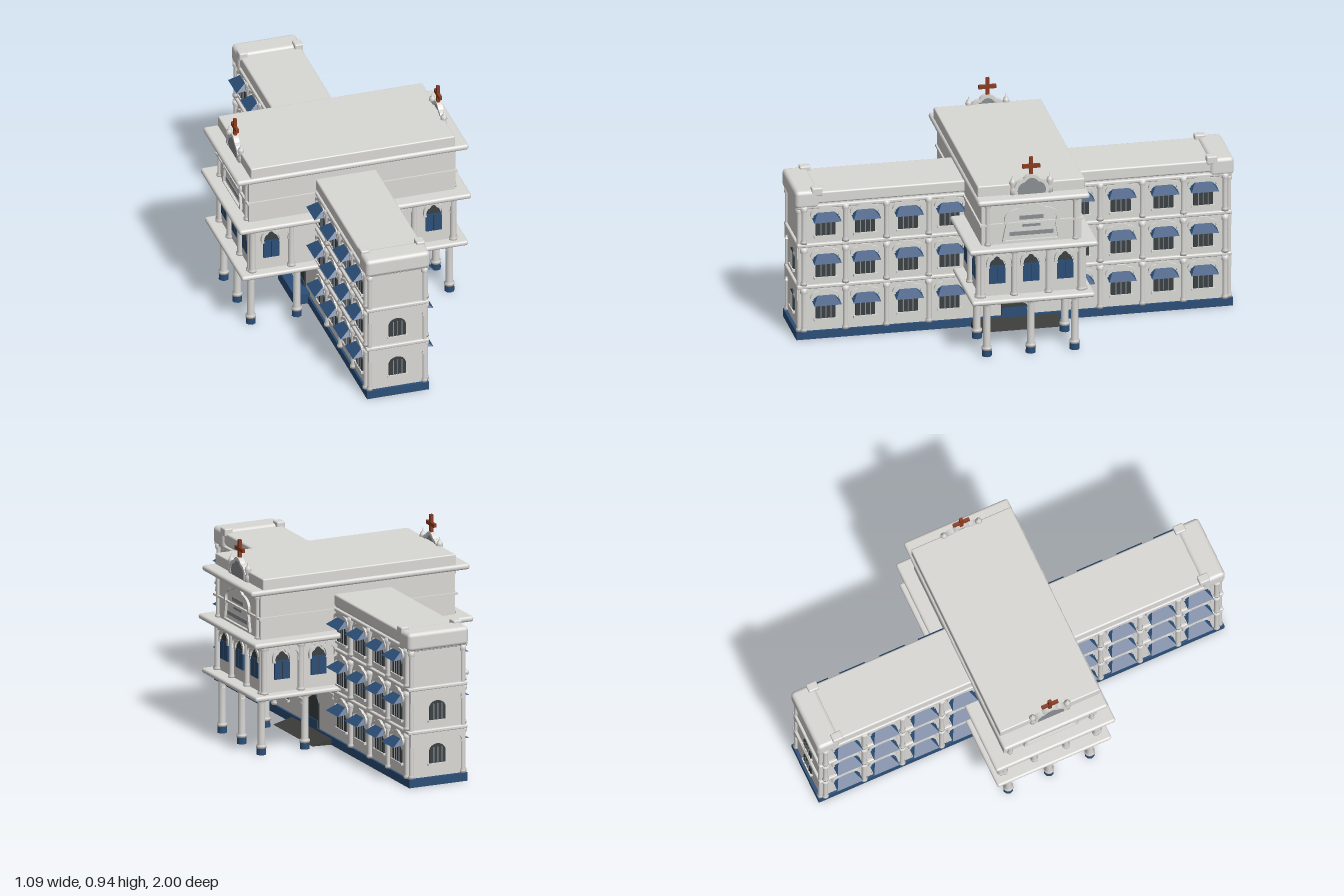
import * as THREE from 'three';
import { RoundedBoxGeometry } from 'three/addons/geometries/RoundedBoxGeometry.js';

const mat = (name, color) => Object.assign(new THREE.MeshStandardMaterial({ color }), { name });

export function createModel() {
  const plaster = mat('plaster', 0xd9d8d5);
  const navy = mat('navy paint', 0x2b4f78);
  const glass = mat('dark glass', 0x3a4144);
  const stone = mat('grey stone', 0x8b8f93);
  const ramp = mat('dark paving', 0x3b3b39);
  const wood = mat('red brown', 0x8a3b20);

  const root = new THREE.Group();
  root.name = 'building';

  const add = (parent, name, geo, m, x = 0, y = 0, z = 0) => {
    const mesh = new THREE.Mesh(geo, m);
    mesh.name = name;
    mesh.position.set(x, y, z);
    parent.add(mesh);
    return mesh;
  };
  // Box from its limits, rounded when r > 0
  const box = (parent, name, m, x0, x1, y0, y1, z0, z1, r = 0) => {
    const s = [x1 - x0, y1 - y0, z1 - z0];
    const geo = r ? new RoundedBoxGeometry(...s, 2, r) : new THREE.BoxGeometry(...s);
    return add(parent, name, geo, m, (x0 + x1) / 2, (y0 + y1) / 2, (z0 + z1) / 2);
  };
  // Group lying on a wall, local +z pointing out of it
  const wall = (name, x, z, angle) => {
    const g = new THREE.Group();
    g.name = name;
    g.position.set(x, 0, z);
    g.rotation.y = angle;
    root.add(g);
    return g;
  };
  const plate = (parent, name, shape, m, x, y, depth, z = 0) =>
    add(parent, name, new THREE.ExtrudeGeometry(shape, { depth, bevelEnabled: false, curveSegments: 10 }), m, x, y, z);

  // Three-lobed arch curve springing from y = base
  const lobes = (w, h, base = 0, k = 0.12) => Array.from({ length: 25 }, (_, i) => {
    const a = Math.PI * i / 24, r = 1 + k * Math.abs(Math.sin(3 * a)) - k;
    return new THREE.Vector2(w / 2 * r * Math.cos(a), base + h * r * Math.sin(a));
  });
  const archShape = (w, h, rise, k = 0.12) => {
    const top = lobes(w, rise, h - rise, k);
    return new THREE.Shape([new THREE.Vector2(-w / 2, 0), new THREE.Vector2(w / 2, 0), ...top]);
  };
  const archBand = (w, h, t) =>
    new THREE.Shape([...lobes(w, h), ...lobes(w - 2 * t, h - t).reverse()]);
  // Panel with an arch cut out of its lower edge
  const spandrel = (w, h) => new THREE.Shape([
    new THREE.Vector2(w / 2, 0), new THREE.Vector2(w / 2, h), new THREE.Vector2(-w / 2, h),
    new THREE.Vector2(-w / 2, 0), ...lobes(w * 0.94, h * 0.85).reverse()]);

  const column = (parent, x, z, y0, y1, r) => {
    const h = y1 - y0;
    const p = [[0, 0], [r * 1.4, 0], [r * 1.4, 0.012], [r, 0.018], [r, h - 0.03], [r * 1.5, h - 0.02], [r * 1.5, h], [0, h]];
    add(parent, 'column', new THREE.LatheGeometry(p.map(q => new THREE.Vector2(...q)), 12), plaster, x, y0, z);
  };

  // Hipped window awning: a box whose top edge is drawn back to the wall
  const awningGeo = new THREE.BoxGeometry(0.125, 0.032, 0.053);
  const pos = awningGeo.attributes.position;
  for (let i = 0; i < pos.count; i++) {
    if (pos.getY(i) > 0) { pos.setX(i, pos.getX(i) * 0.6); pos.setZ(i, -0.02); }
    else if (pos.getZ(i) < 0) pos.setY(i, -0.008);
  }
  awningGeo.computeVertexNormals();

  const barredWindow = (parent, x, y, w, h) => {
    plate(parent, 'window glass', archShape(w, h, h * 0.4, 0), glass, x, y, 0.006);
    for (const s of [-0.25, 0, 0.25]) box(parent, 'window bar', stone, x + s * w - 0.002, x + s * w + 0.002, y, y + h * 0.85, 0.005, 0.009);
    box(parent, 'window sill', plaster, x - w * 0.6, x + w * 0.6, y - 0.01, y, 0, 0.012);
  };

  // Long wing
  const cx = -0.027, half = 0.135;
  box(root, 'wing plinth', navy, cx - 0.145, cx + 0.145, 0, 0.038, -0.995, 0.995);
  box(root, 'wing wall', plaster, cx - half, cx + half, 0.038, 0.69, -0.98, 0.98);
  box(root, 'wing roof', plaster, cx - 0.142, cx + 0.142, 0.65, 0.705, -0.95, 0.95, 0.008);
  for (const y of [0.25, 0.45, 0.635])
    box(root, 'wing cornice', plaster, cx - 0.147, cx + 0.147, y - 0.008, y + 0.01, -0.992, 0.992, 0.006);
  for (const s of [-1, 1]) {
    const z = [s * 0.89, s].sort((a, b) => a - b);
    box(root, 'end parapet', plaster, cx - 0.15, cx + 0.15, 0.63, 0.715, ...z, 0.018);
    for (const e of [-1, 1]) box(root, 'parapet post', plaster, cx + e * 0.13 - 0.02, cx + e * 0.13 + 0.02, 0.69, 0.727, s * 0.9 - 0.025, s * 0.9 + 0.025, 0.006);

    // Long side of the wing
    const side = wall('wing side', cx + s * half, 0, s * Math.PI / 2);
    for (const m of [-1, 1]) {
      for (const z0 of [0.86, 0.68, 0.485, 0.295]) for (const y of [0, 0.2, 0.4]) {
        barredWindow(side, m * z0, y + 0.095, 0.09, 0.09);
        add(side, 'awning', awningGeo, navy, m * z0, y + 0.19, 0.027);
        plate(side, 'hood mould', archBand(0.15, 0.055, 0.012), plaster, m * z0, y + 0.185, 0.012);
      }
      for (const z0 of [0.96, 0.77, 0.583, 0.39]) for (const y of [0.038, 0.26, 0.46])
        column(side, m * z0, 0.004, y, y < 0.1 ? 0.245 : y + 0.18, 0.011);
    }
    // Short end of the wing
    const end = wall('wing end', cx, s * 0.98, s > 0 ? 0 : Math.PI);
    for (const y of [0, 0.2]) {
      barredWindow(end, 0, y + 0.1, 0.08, 0.088);
      plate(end, 'end arch', spandrel(0.27, 0.06), plaster, 0, y + 0.185, 0.01);
    }
    for (const e of [-1, 1]) column(end, e * 0.128, 0, 0.038, 0.63, 0.01);
  }

  // Central block: two floors, three projecting slabs and the roof
  box(root, 'porch slab', plaster, -0.53, 0.53, 0.265, 0.288, -0.28, 0.28, 0.01);
  box(root, 'middle floor', plaster, -0.47, 0.47, 0.28, 0.52, -0.232, 0.232);
  box(root, 'middle slab', plaster, -0.545, 0.54, 0.513, 0.538, -0.293, 0.293, 0.011);
  box(root, 'upper floor', plaster, -0.482, 0.482, 0.53, 0.75, -0.228, 0.228);
  box(root, 'upper cornice', plaster, -0.492, 0.492, 0.63, 0.64, -0.236, 0.236);
  box(root, 'roof slab', plaster, -0.545, 0.54, 0.745, 0.772, -0.255, 0.255, 0.012);
  box(root, 'main roof', plaster, -0.478, 0.478, 0.765, 0.822, -0.245, 0.245, 0.006);

  // Blue shuttered window under a lobed arch
  const shutterWindow = (parent, x) => {
    plate(parent, 'window glass', archShape(0.07, 0.125, 0.06), glass, x, 0.35, 0.006);
    box(parent, 'shutters', navy, x - 0.037, x + 0.037, 0.348, 0.435, 0, 0.009);
    box(parent, 'shutter gap', glass, x - 0.002, x + 0.002, 0.352, 0.43, 0.008, 0.011);
    plate(parent, 'window arch', archBand(0.105, 0.075, 0.014), plaster, x, 0.425, 0.012);
  };
  for (const s of [-1, 1]) {
    const long = wall('long face', 0, s * 0.232, s > 0 ? 0 : Math.PI);
    for (const x of [-0.38, -0.2, 0.2, 0.38]) {
      if (x * s !== -0.2) shutterWindow(long, x);
      plate(long, 'bay arch', spandrel(0.18, 0.085), plaster, x, 0.43, 0.012);
    }
    for (const x of [-0.47, -0.288, 0.288, 0.47]) column(long, x, 0.006, 0.285, 0.515, 0.014);

    const gable = wall('entrance face', s * 0.47, 0, s * Math.PI / 2);
    for (const z of [-0.155, 0, 0.155]) {
      shutterWindow(gable, z);
      plate(gable, 'bay arch', spandrel(0.15, 0.085), plaster, z, 0.43, 0.012);
    }
    for (const z of [-0.225, -0.078, 0.078, 0.225]) column(gable, z, 0.006, 0.285, 0.515, 0.013);

    // Arched panel on the upper floor
    const frame = archShape(0.27, 0.18, 0.1);
    frame.holes.push(new THREE.Path(archShape(0.24, 0.165, 0.09).getPoints().map(p => p.setY(p.y + 0.005))));
    plate(gable, 'panel frame', frame, plaster, 0, 0.55, 0.014, 0.01);
    for (const [w, y] of [[0.11, 0.65], [0.08, 0.615], [0.2, 0.575]])
      box(gable, 'panel relief', stone, -w / 2, w / 2, y, y + 0.018, 0.01, 0.016);
    for (const z of [-0.2, 0.2]) column(gable, z, 0.014, 0.535, 0.745, 0.01);

    // Rooftop crest, finials and cross
    const crest = wall('roof crest', s * 0.475, 0, s * Math.PI / 2);
    plate(crest, 'crest panel', archShape(0.14, 0.085, 0.075), stone, 0, 0.77, 0.016, -0.004);
    plate(crest, 'crest rim', archBand(0.17, 0.095, 0.016), plaster, 0, 0.77, 0.024, -0.01);
    const urn = [[0, 0], [0.014, 0], [0.014, 0.03], [0.008, 0.036], [0.016, 0.055], [0.012, 0.068], [0.005, 0.075], [0, 0.095]];
    for (const z of [-0.085, 0.085])
      add(crest, 'finial', new THREE.LatheGeometry(urn.map(p => new THREE.Vector2(...p)), 12), plaster, z, 0.77, 0);
    box(crest, 'cross upright', wood, -0.008, 0.008, 0.855, 0.945, -0.007, 0.007);
    box(crest, 'cross arm', wood, -0.04, 0.04, 0.893, 0.91, -0.007, 0.007);

    // Porch pillars and arches
    const pillars = [[0.465, -0.2], [0.465, 0], [0.465, 0.2], [0.25, -0.2], [0.25, 0.2]];
    for (const [x, z] of pillars) {
      column(root, s * x, z, 0.03, 0.268, 0.017);
      add(root, 'pillar foot', new THREE.CylinderGeometry(0.022, 0.023, 0.035, 8), navy, s * x, 0.0175, z);
    }
    for (const z of [-0.1, 0.1]) plate(wall('porch arch', s * 0.458, z, s * Math.PI / 2), 'arch', spandrel(0.2, 0.055), plaster, 0, 0.212, 0.016);
    for (const z of [-0.2, 0.2]) {
      plate(root, 'porch arch', spandrel(0.215, 0.055), plaster, s * 0.3575, 0.212, 0.016, z - 0.008);
      plate(root, 'inner arch', spandrel(0.15, 0.055), plaster, s * 0.175, 0.212, 0.016, z - 0.008);
    }
    // Doorway
    const door = wall('doorway', cx + s * half, 0, s * Math.PI / 2);
    plate(door, 'door', archShape(0.12, 0.16, 0.05, 0), glass, 0, 0.035, 0.006);
    box(door, 'door panel', navy, -0.055, 0.055, 0.035, 0.075, 0.004, 0.01);
  }

  // Entrance ramp on one side, raised step on the other
  const wedge = new THREE.Shape([[0.1, 0], [0.212, 0.004], [0.1, 0.034]].map(p => new THREE.Vector2(...p)));
  plate(root, 'entrance ramp', wedge, ramp, 0, 0, 0.4, -0.2);
  box(root, 'entrance step', navy, -0.235, -0.15, 0, 0.05, -0.12, 0.12);
  return root;
}
